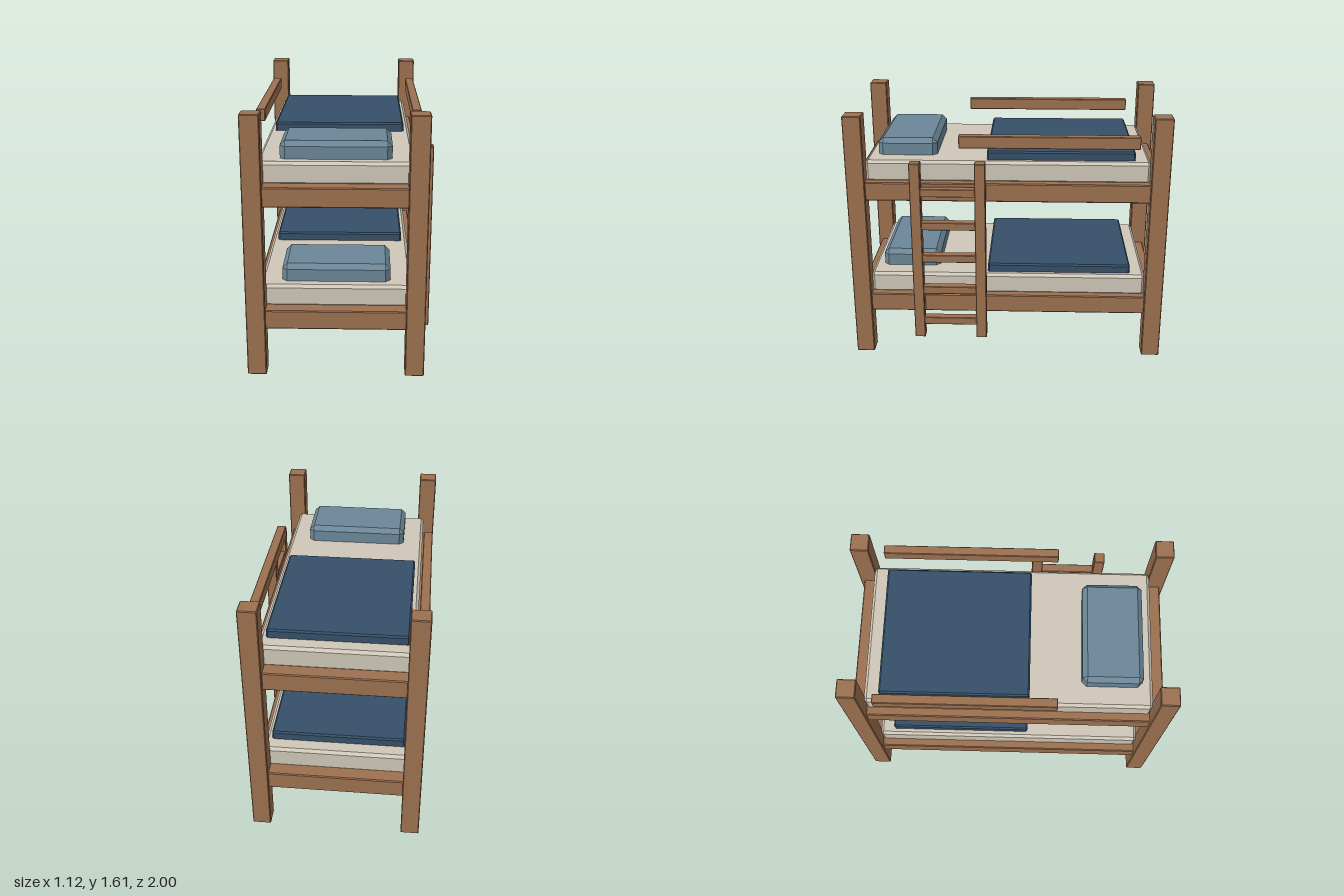
import * as THREE from 'three';
import { ConvexGeometry } from 'three/addons/geometries/ConvexGeometry.js';

const material = (name, color) => {
  const m = new THREE.MeshStandardMaterial({ color });
  m.name = name;
  return m;
};

// Box between two limits on each axis, with all edges chamfered by c
function chamferBox(name, mat, [x0, x1], [y0, y1], [z0, z1], c) {
  const hx = (x1 - x0) / 2, hy = (y1 - y0) / 2, hz = (z1 - z0) / 2;
  const points = [];
  for (const sx of [-1, 1]) for (const sy of [-1, 1]) for (const sz of [-1, 1]) {
    points.push(
      new THREE.Vector3(sx * hx, sy * (hy - c), sz * (hz - c)),
      new THREE.Vector3(sx * (hx - c), sy * hy, sz * (hz - c)),
      new THREE.Vector3(sx * (hx - c), sy * (hy - c), sz * hz)
    );
  }
  const mesh = new THREE.Mesh(new ConvexGeometry(points), mat);
  mesh.name = name;
  mesh.position.set((x0 + x1) / 2, (y0 + y1) / 2, (z0 + z1) / 2);
  return mesh;
}

export function createModel() {
  const wood = material('wood', 0x9c7050);
  const linen = material('mattress linen', 0xcfc7b8);
  const navy = material('blanket navy', 0x365069);
  const blue = material('pillow blue', 0x6c8799);

  const model = new THREE.Group();
  model.name = 'bunkBed';

  // Four corner posts
  for (const x of [[-0.56, -0.445], [0.39, 0.505]])
    for (const z of [[-1, -0.885], [0.885, 1]])
      model.add(chamferBox('cornerPost', wood, x, [0, 1.605], z, 0.005));

  // Two identical bunks, each with base, mattress, blanket and pillow
  for (const [name, y] of [['lowerBunk', 0], ['upperBunk', 0.765]]) {
    const bunk = new THREE.Group();
    bunk.name = name;
    bunk.position.y = y;
    bunk.add(
      chamferBox('bedBase', wood, [-0.535, 0.48], [0.293, 0.412], [-0.975, 0.975], 0.006),
      chamferBox('mattress', linen, [-0.485, 0.43], [0.4, 0.54], [-0.89, 0.89], 0.018),
      chamferBox('blanket', navy, [-0.445, 0.39], [0.51, 0.595], [-0.795, 0.13], 0.01),
      chamferBox('pillow', blue, [-0.355, 0.3], [0.5, 0.645], [0.45, 0.825], 0.03)
    );
    model.add(bunk);
  }

  // Guard rails beside the upper bunk
  for (const x of [[-0.55, -0.492], [0.437, 0.495]])
    model.add(chamferBox('guardRail', wood, x, [1.408, 1.484], [-0.81, 0.297], 0.004));

  // Ladder on the left side
  const ladder = new THREE.Group();
  ladder.name = 'ladder';
  for (const z of [[0.132, 0.2], [0.533, 0.6]])
    ladder.add(chamferBox('ladderStile', wood, [0.487, 0.555], [0.14, 1.325], z, 0.004));
  for (let i = 0; i < 5; i++) {
    const y = 0.255 + i * 0.22;
    ladder.add(chamferBox('ladderRung', wood, [0.495, 0.55], [y - 0.025, y + 0.025], [0.18, 0.55], 0.003));
  }
  model.add(ladder);

  return model;
}
